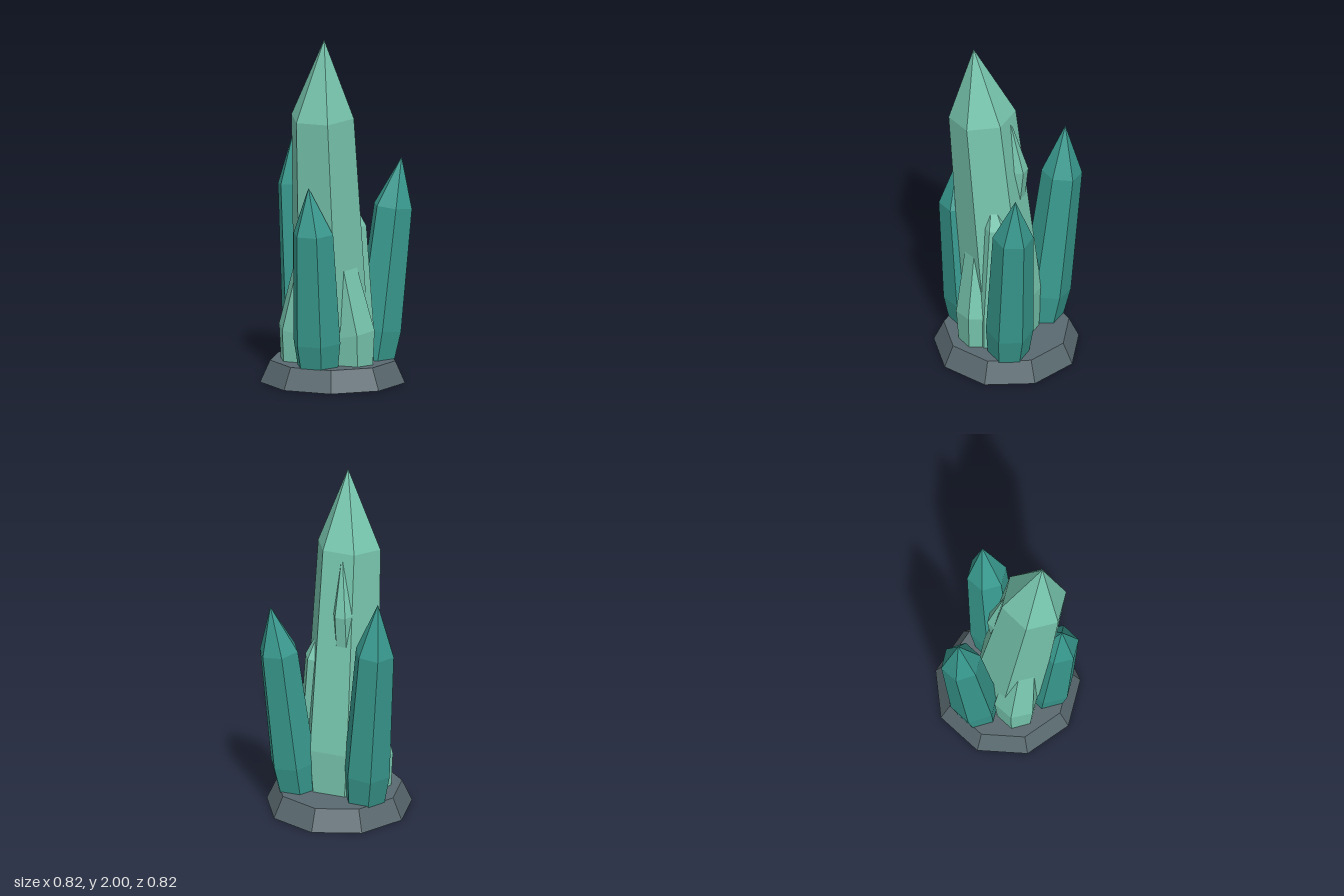
import * as THREE from 'three';

const SIDES = 6;

function material(color) {
  return new THREE.MeshStandardMaterial({ color, flatShading: true });
}

// Hexagonal crystal lofted through rings [x, y, z, radius]; radius 0 makes a point.
// Each ring is sheared so it stays square to the crystal's lean.
function crystal(name, rings, mat) {
  const lower = rings[1], upper = rings[2];
  const rise = upper[1] - lower[1];
  const leanX = (upper[0] - lower[0]) / rise;
  const leanZ = (upper[2] - lower[2]) / rise;
  const positions = [];
  const indices = [];
  for (const [x, y, z, r] of rings) {
    for (let i = 0; i < SIDES; i++) {
      const a = (i / SIDES) * Math.PI * 2;
      const dx = Math.cos(a) * r, dz = -Math.sin(a) * r;
      positions.push(x + dx, y - dx * leanX - dz * leanZ, z + dz);
    }
  }
  for (let k = 0; k < rings.length - 1; k++) {
    for (let i = 0; i < SIDES; i++) {
      const j = (i + 1) % SIDES;
      const a = k * SIDES + i, b = k * SIDES + j;
      const c = a + SIDES, d = b + SIDES;
      if (rings[k][3] > 0) indices.push(a, b, d);
      if (rings[k + 1][3] > 0) indices.push(a, d, c);
      else if (rings[k][3] === 0) indices.push(a, d, c);
    }
  }
  // Closed underside
  if (rings[0][3] > 0) {
    for (let i = 1; i < SIDES - 1; i++) indices.push(0, i + 1, i);
  }
  const indexed = new THREE.BufferGeometry();
  indexed.setAttribute('position', new THREE.Float32BufferAttribute(positions, 3));
  indexed.setIndex(indices);
  const geometry = indexed.toNonIndexed();
  geometry.computeVertexNormals();
  const mesh = new THREE.Mesh(geometry, mat);
  mesh.name = name;
  return mesh;
}

export function createModel() {
  const model = new THREE.Group();
  model.name = 'crystalCluster';
  const stone = material(0x5a6a70);
  const mint = material(0x76c4ac);
  const teal = material(0x38998e);

  // Nine-sided rock base
  const base = new THREE.Mesh(
    new THREE.CylinderGeometry(0.36, 0.417, 0.125, 9, 1, false, Math.PI), stone);
  base.name = 'rockBase';
  base.position.set(0, 0.0625, 0.006);
  model.add(base);

  // Tall central crystal, leaning forward
  model.add(crystal('mainCrystal', [
    [0, 0.1, 0.015, 0.19],
    [0, 0.36, 0.04, 0.225],
    [0, 1.55, 0.163, 0.19],
    [0.025, 2, 0.205, 0],
  ], mint));

  // Three outer crystals, leaning outward
  model.add(crystal('frontCrystal', [
    [0, 0.1, 0.235, 0.12],
    [0, 0.265, 0.25, 0.142],
    [0, 0.9, 0.305, 0.12],
    [-0.02, 1.165, 0.33, 0],
  ], teal));
  model.add(crystal('backRightCrystal', [
    [-0.205, 0.1, -0.11, 0.115],
    [-0.225, 0.3, -0.13, 0.138],
    [-0.298, 1.08, -0.19, 0.115],
    [-0.32, 1.385, -0.2, 0],
  ], teal));
  model.add(crystal('backLeftCrystal', [
    [0.205, 0.1, -0.11, 0.115],
    [0.225, 0.29, -0.13, 0.135],
    [0.29, 0.99, -0.185, 0.115],
    [0.328, 1.27, -0.22, 0],
  ], teal));

  // Pair of short crystals leaning into the central one
  for (const s of [-1, 1]) {
    model.add(crystal(s > 0 ? 'leftSmallCrystal' : 'rightSmallCrystal', [
      [s * 0.17, 0.1, 0.1, 0.11],
      [s * 0.163, 0.3, 0.1, 0.128],
      [s * 0.085, 0.72, 0.12, 0.09],
      [s * 0.06, 0.9, 0.13, 0],
    ], mint));
  }

  // Slim crystal growing up the rear left flank
  model.add(crystal('flankCrystal', [
    [0.16, 0.1, 0.02, 0.09],
    [0.155, 0.3, 0.02, 0.1],
    [0.125, 0.9, 0.01, 0.08],
    [0.12, 1.08, 0.04, 0],
  ], mint));

  // Shard embedded in the back of the central crystal
  model.add(crystal('backShard', [
    [-0.045, 0.85, 0.01, 0.045],
    [-0.045, 1.02, -0.02, 0.06],
    [-0.045, 1.21, -0.038, 0.062],
    [-0.02, 1.57, 0.005, 0],
  ], mint));

  return model;
}
